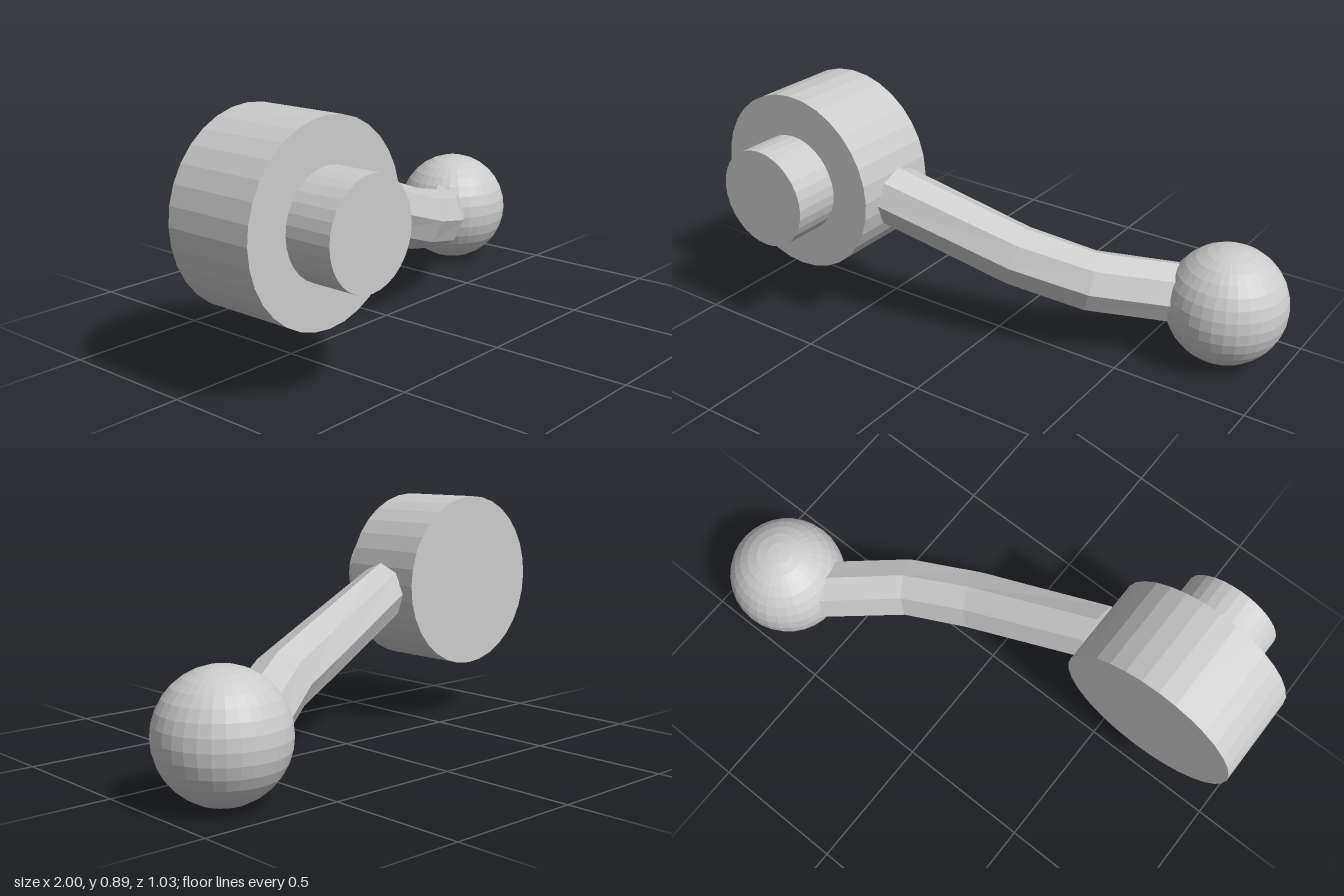
import * as THREE from 'three';

const mat = new THREE.MeshStandardMaterial({ color: 0xcccccc, flatShading: true });

function part(name, geometry, x, y, z) {
  const mesh = new THREE.Mesh(geometry, mat);
  mesh.name = name;
  mesh.position.set(x, y, z);
  return mesh;
}

// Disc lying along z, from z0 to z1
function disc(name, radius, z0, z1) {
  const g = new THREE.CylinderGeometry(radius, radius, z1 - z0, 32).rotateX(Math.PI / 2);
  return part(name, g, -0.667, 0.553, (z0 + z1) / 2);
}

// Bent octagonal bar: one ring per path point, each facing its own direction
function bentBar(path, directions, radius, sides) {
  const pos = [], index = [];
  path.forEach((p, i) => {
    const dir = directions[i].clone().normalize();
    const side = new THREE.Vector3().crossVectors(dir, new THREE.Vector3(0, 1, 0)).normalize();
    const up = new THREE.Vector3().crossVectors(side, dir);
    for (let j = 0; j < sides; j++) {
      const a = (j / sides) * Math.PI * 2;
      const v = p.clone()
        .addScaledVector(up, Math.cos(a) * radius)
        .addScaledVector(side, Math.sin(a) * radius);
      pos.push(v.x, v.y, v.z);
    }
  });
  for (let i = 0; i < path.length - 1; i++) {
    for (let j = 0; j < sides; j++) {
      const k = (j + 1) % sides;
      const a = i * sides + j, b = i * sides + k;
      const c = a + sides, d = b + sides;
      index.push(a, b, c, b, d, c);
    }
  }
  // End caps
  const last = (path.length - 1) * sides;
  for (let j = 1; j < sides - 1; j++) {
    index.push(0, j + 1, j, last, last + j, last + j + 1);
  }
  const g = new THREE.BufferGeometry();
  g.setAttribute('position', new THREE.Float32BufferAttribute(pos, 3));
  g.setIndex(index);
  g.computeVertexNormals();
  return g;
}

export function createModel() {
  const group = new THREE.Group();
  group.name = 'crankHandle';

  // Round hub with a smaller boss on its front
  group.add(disc('hub', 0.333, 0, 0.34));
  group.add(disc('boss', 0.182, 0.34, 0.513));

  // Arm from the hub rim, curving down and back into the ball
  const V = (x, y, z) => new THREE.Vector3(x, y, z);
  const path = [V(-0.337, 0.52, 0.163), V(0.11, 0.357, 0.04), V(0.355, 0.289, -0.055), V(0.67, 0.222, -0.285)];
  const directions = [V(1, -0.08, -0.02), V(1, -0.3, -0.33), V(1, -0.25, -0.54), V(1, -0.22, -0.7)];
  group.add(part('arm', bentBar(path, directions, 0.113, 8), 0, 0, 0));

  // Ball grip
  group.add(part('ballGrip', new THREE.SphereGeometry(0.22, 32, 16), 0.78, 0.22, -0.293));
  return group;
}
